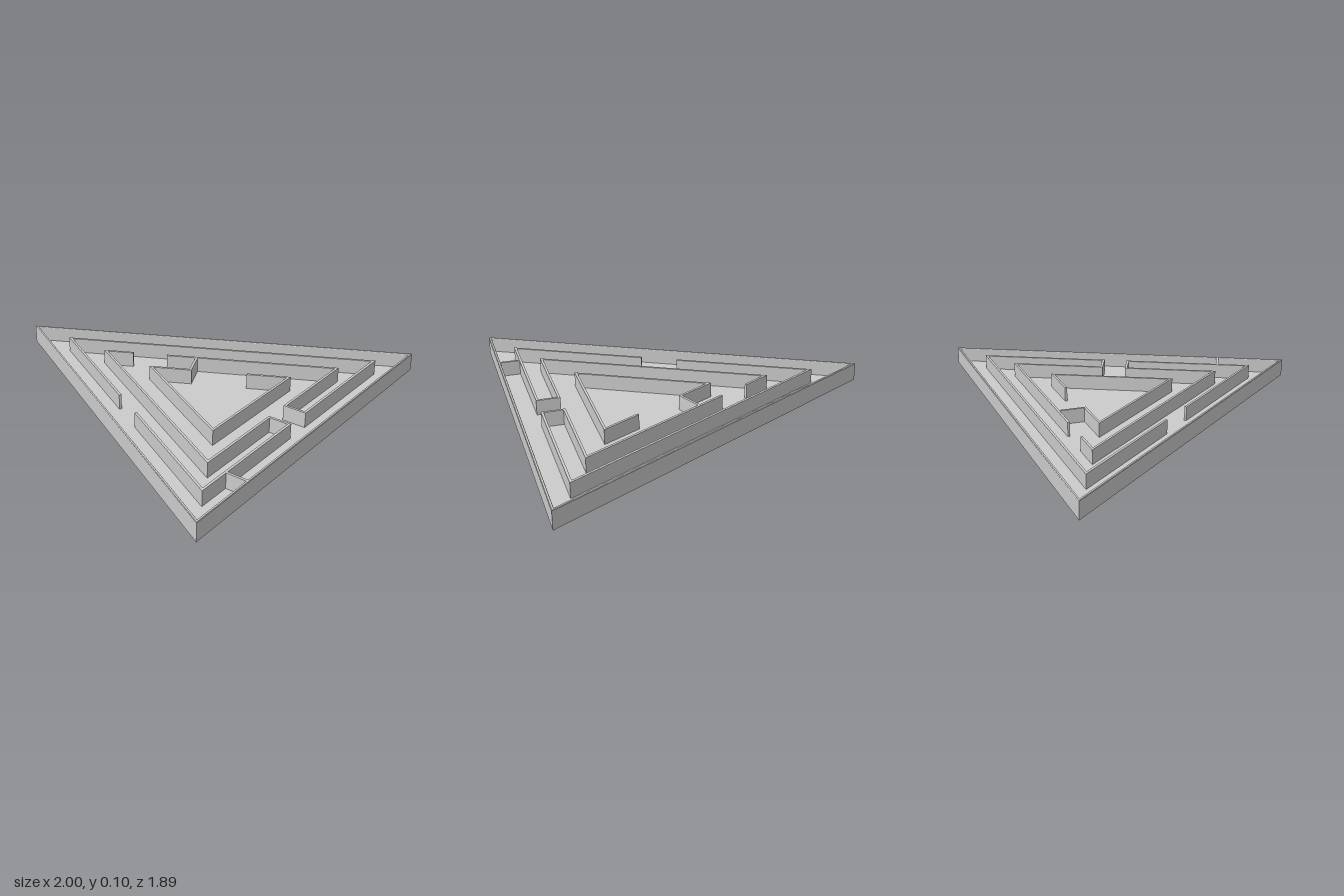
import * as THREE from 'three';

const SLOPE = 1 / 1.89;   // half-width gained per unit of depth along the slanted sides
const HEIGHT = 0.1, FLOOR = 0.018, WALL = 0.013;

const material = new THREE.MeshStandardMaterial({ color: 0xcccccc, flatShading: true });

// Point on a slanted side of the triangle whose apex is at depth `apex`.
const slant = (apex, z, side) => [side * (z - apex) * SLOPE, z];

// Plan coordinates are [x, z]; shapes are drawn with y = -z and laid flat.
const toVectors = (points) => points.map(([x, z]) => new THREE.Vector2(x, -z));

function extrudeUp(name, shape, y, depth, bevel = {}) {
  const geometry = new THREE.ExtrudeGeometry(shape, { depth, bevelEnabled: false, ...bevel });
  geometry.rotateX(-Math.PI / 2);
  const mesh = new THREE.Mesh(geometry, material);
  mesh.position.y = y;
  mesh.name = name;
  return mesh;
}

// Strip of constant thickness along an open path, with mitred corners.
function wallShape(points) {
  const path = toVectors(points);
  const left = [], right = [];
  path.forEach((p, i) => {
    const before = i > 0 ? p.clone().sub(path[i - 1]).normalize() : null;
    const after = i < path.length - 1 ? path[i + 1].clone().sub(p).normalize() : null;
    const a = before || after, b = after || before;
    const normalA = new THREE.Vector2(-a.y, a.x);
    const mitre = normalA.clone().add(new THREE.Vector2(-b.y, b.x)).normalize();
    mitre.multiplyScalar(WALL / 2 / mitre.dot(normalA));
    left.push(p.clone().add(mitre));
    right.unshift(p.clone().sub(mitre));
  });
  return new THREE.Shape([...left, ...right]);
}

export function createModel() {
  const group = new THREE.Group();
  group.name = 'triangularMaze';

  // Floor slab
  const outline = [[-1, 0.945], [1, 0.945], [0, -0.945]];
  group.add(extrudeUp('floor', new THREE.Shape(toVectors(outline)), 0, FLOOR));

  // Outer rim with a fine chamfer on top; its lower chamfer sits inside the floor
  const rim = new THREE.Shape(toVectors(outline));
  const innerApex = -0.917, innerBase = 0.932;
  rim.holes.push(new THREE.Path(toVectors([
    slant(innerApex, innerBase, -1), [0, innerApex], slant(innerApex, innerBase, 1),
  ])));
  const chamfer = 0.003;
  group.add(extrudeUp('outerRim', rim, 0.008 + chamfer, HEIGHT - 0.008 - 2 * chamfer, {
    bevelEnabled: true, bevelThickness: chamfer, bevelSize: chamfer,
    bevelOffset: -chamfer, bevelSegments: 1,
  }));

  // Nested maze walls: apex depths and base depths of the three rings
  const A = -0.668, B = -0.406, C = -0.086;
  const baseA = 0.82, baseB = 0.706, baseC = 0.56, gap = 0.073;
  const walls = {
    rightPassageWall: [
      slant(A, -0.013, -1), [0, A], slant(A, baseA, 1), [gap, baseA],
      [gap, baseB], slant(B, baseB, 1), slant(B, -0.105, 1),
    ],
    leftPassageWall: [
      slant(A, 0.165, -1), slant(A, baseA, -1), [-gap, baseA],
      [-gap, baseB], slant(B, baseB, -1), [0, B], slant(B, -0.27, 1),
    ],
    centreWall: [
      slant(C, 0.365, 1), slant(C, baseC, 1), slant(C, baseC, -1),
      [0, C], slant(C, 0.1, 1), slant(B, 0.04, 1),
    ],
    cornerStub: [[-0.61, baseA], [-0.61, 0.937]],
  };
  for (const [name, points] of Object.entries(walls)) {
    group.add(extrudeUp(name, wallShape(points), FLOOR - 0.005, HEIGHT - FLOOR + 0.005));
  }
  return group;
}
